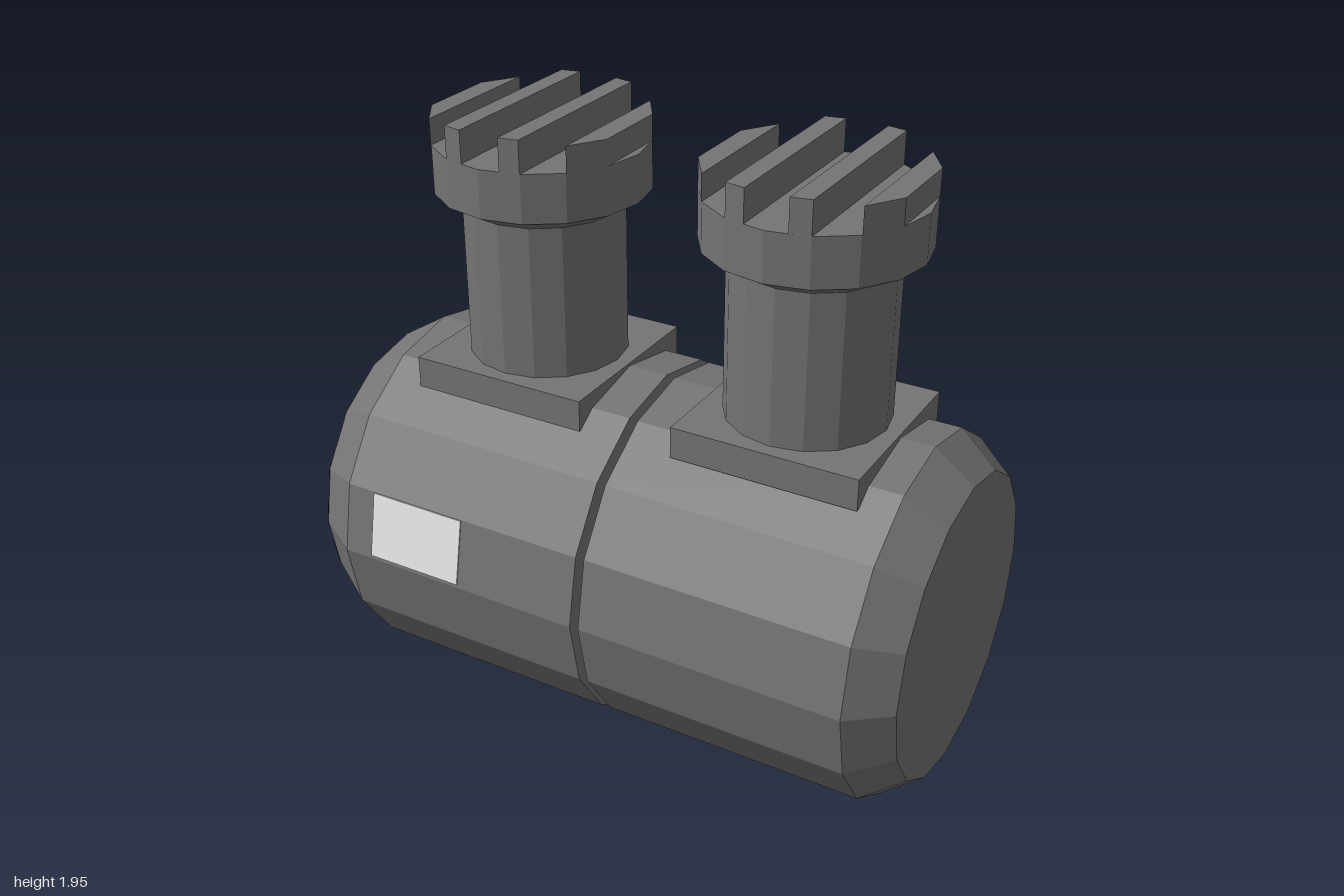
import * as THREE from 'three';

const SIDES = 16;

export function createModel() {
  const model = new THREE.Group();
  const paint = (name, color) => {
    const m = new THREE.MeshStandardMaterial({ color, flatShading: true });
    m.name = name;
    return m;
  };
  const grey = paint('darkGrey', 0x747474);
  const black = paint('black', 0x080808);
  const white = paint('offWhite', 0xf8f8f8);

  const add = (parent, name, geometry, material, x = 0, y = 0, z = 0) => {
    const mesh = new THREE.Mesh(geometry, material);
    mesh.name = name;
    mesh.position.set(x, y, z);
    parent.add(mesh);
    return mesh;
  };
  const lathe = (points) =>
    new THREE.LatheGeometry(points.map(([r, h]) => new THREE.Vector2(r, h)), SIDES);
  const prism = (points, depth) =>
    new THREE.ExtrudeGeometry(new THREE.Shape(points.map(([x, y]) => new THREE.Vector2(x, y))),
      { depth, bevelEnabled: false });

  // Drum lying along x, with bevelled ends and a narrow groove between its halves
  const drum = lathe([
    [0, -1], [0.48, -1], [0.58, -0.84], [0.58, 0], [0.53, 0.01],
    [0.53, 0.018], [0.577, 0.027], [0.577, 0.875], [0.48, 1], [0, 1],
  ]).rotateZ(-Math.PI / 2);
  add(model, 'drum', drum, grey, 0, 0.58, 0);

  // Label plate lying on the front facet just above the middle
  const tilt = Math.PI / SIDES;
  const label = add(model, 'label', new THREE.BoxGeometry(0.33, 0.212, 0.006), white, -0.575, 0.695, 0.558);
  label.rotation.x = -tilt;

  // Horizontal stripes on the end of the drum, cut to its 16-sided outline
  const halfWidth = (h) => {
    const step = (2 * Math.PI) / SIDES;
    let w = 1;
    for (let i = 0; i < SIDES; i++) {
      const a = (i + 0.5) * step;
      if (Math.cos(a) > 0.01) w = Math.min(w, (0.48 * Math.cos(step / 2) - h * Math.sin(a)) / Math.cos(a));
    }
    return w;
  };
  for (const centre of [-0.14, 0.03, 0.2, 0.37]) {
    const heights = [-0.045, -0.0225, 0, 0.0225, 0.045].map((d) => centre + d);
    const right = heights.map((h) => [halfWidth(h), h]);
    const left = right.map(([w, h]) => [-w, h]).reverse();
    const stripe = prism([...right, ...left], 0.004).rotateY(-Math.PI / 2);
    add(model, 'endStripe', stripe, black, -0.999, 0.58, 0);
  }

  // Two chimneys, each with a square pad, a flared head and four upright fins
  for (const x of [-0.425, 0.475]) {
    const chimney = new THREE.Group();
    chimney.name = 'chimney';
    chimney.position.x = x;
    model.add(chimney);

    add(chimney, 'pad', new THREE.BoxGeometry(0.59, 0.1, 0.59), grey, 0, 1.12, 0);
    add(chimney, 'column', new THREE.CylinderGeometry(0.25, 0.25, 0.5, SIDES), grey, 0, 1.41, 0);
    add(chimney, 'head', lathe([[0, 1.655], [0.25, 1.655], [0.33, 1.7], [0.33, 1.85], [0, 1.85]]), grey);

    // Fin plans: inner x, inner half length, outer x, outer half length, height
    const fins = [[0.065, 0.317, 0.126, 0.305, 0.1], [0.235, 0.233, 0.305, 0.126, 0.08]];
    for (const [x0, z0, x1, z1, height] of fins) {
      for (const s of [-1, 1]) {
        const plan = [[s * x0, -z0], [s * x1, -z1], [s * x1, z1], [s * x0, z0]];
        add(chimney, 'fin', prism(plan, height).rotateX(-Math.PI / 2), grey, 0, 1.85, 0);
      }
    }
  }
  return model;
}
